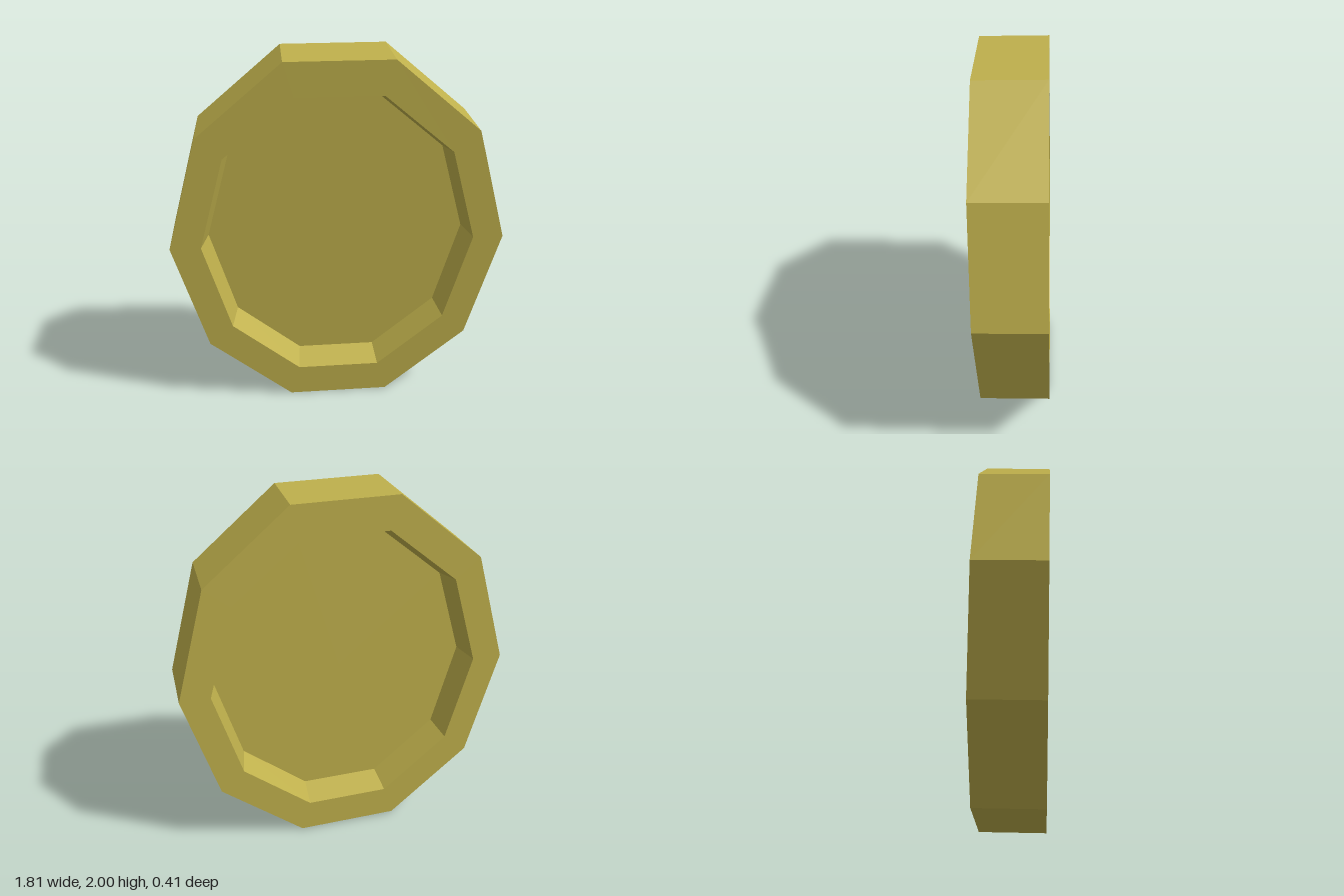
import * as THREE from 'three';

export function createModel() {
  const group = new THREE.Group();
  group.name = 'coin';

  const half = 0.1825; // half thickness at the rim
  const web = 0.022;   // half thickness at the recessed floors
  // Half profile (radius, height), mirrored to give both faces a recess
  const lower = [[0, -web], [0.707, -web], [0.74, -half], [0.905, -half]];
  const upper = lower.map(([r, h]) => [r, -h]).reverse();
  const profile = [...lower, ...upper].map(([r, h]) => new THREE.Vector2(r, h));

  // Ten-sided disc with its axis along z, stretched upwards
  const lathe = new THREE.LatheGeometry(profile, 10, Math.PI / 2);
  lathe.rotateX(Math.PI / 2);
  lathe.scale(1, 1.157, 1);
  const geometry = lathe.toNonIndexed();
  geometry.computeVertexNormals();

  const material = new THREE.MeshStandardMaterial({ color: 0xbfb04c, flatShading: true });
  const disc = new THREE.Mesh(geometry, material);
  disc.name = 'recessedDisc';
  disc.position.y = 1;
  disc.rotation.x = 0.025; // slight lean towards the front
  group.add(disc);
  return group;
}
